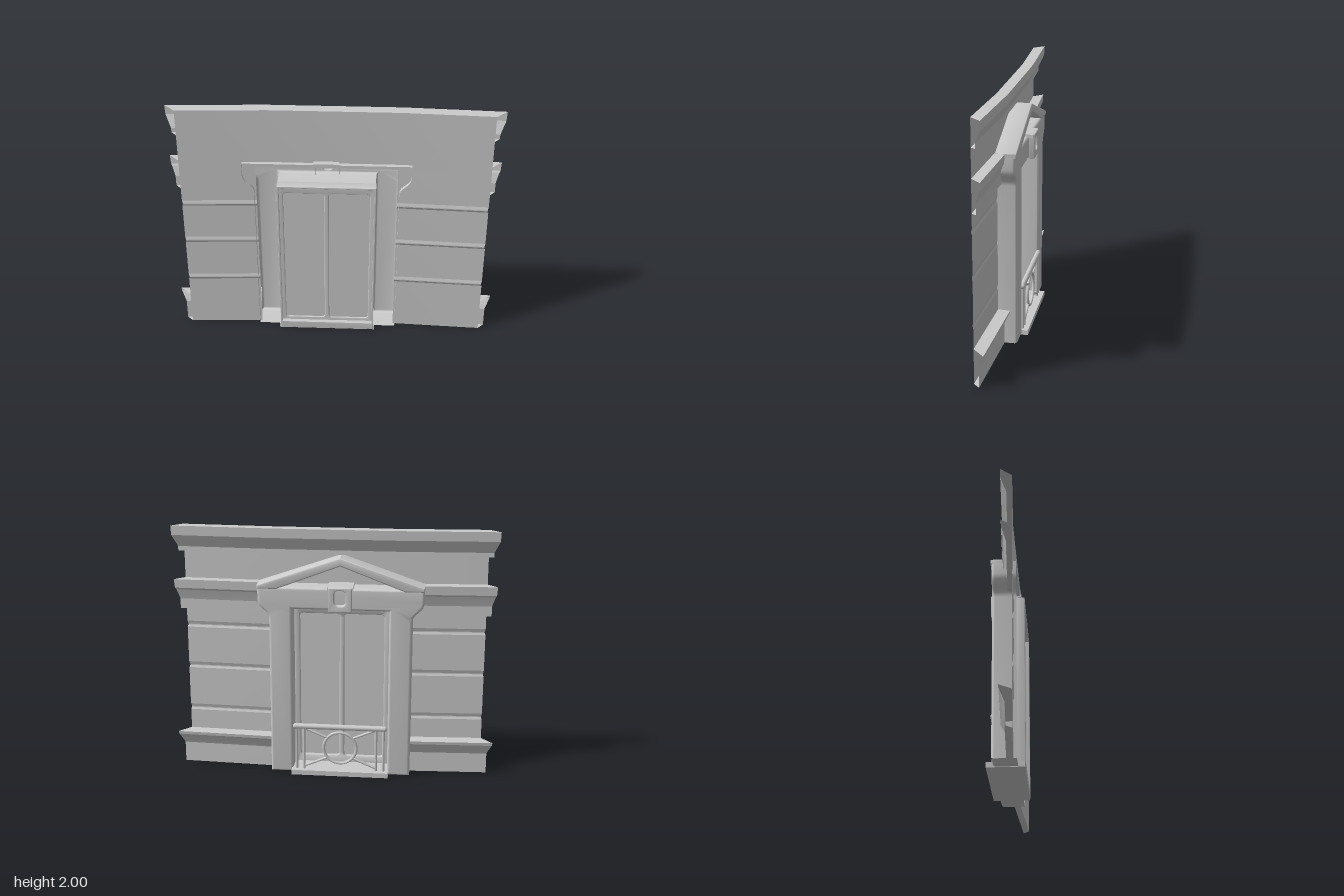
import * as THREE from 'three';
import { toCreasedNormals } from 'three/addons/utils/BufferGeometryUtils.js';

const material = new THREE.MeshStandardMaterial({ color: 0xcccccc, side: THREE.DoubleSide });
const CENTRE = 0.062; // door axis along the wall
const BEND = 0.5, MID = -0.048, END = 1.191, TIP = -0.081; // wall plan

// Plan of the wall: [along, out, mitre along, mitre out]
const END_L = [-END, TIP, -0.962, 0.962];
const BEND_L = [-BEND, MID, -0.024, 1];
const BEND_R = [BEND, MID, 0.024, 1];
const END_R = [END, TIP, 0.962, 0.962];

// Square cut of a side bay at a given position along the wall
function cut(x) {
  const k = Math.max(0, Math.abs(x) - BEND) / (END - BEND);
  return [x, MID + (TIP - MID) * k, 0, 1];
}

// Sweep an [offset, height] profile along plan nodes
function sweep(profile, nodes) {
  const pos = [];
  const at = (n, p) => [n[0] + n[2] * p[0], p[1], n[1] + n[3] * p[0]];
  for (let i = 0; i < nodes.length - 1; i++) {
    for (let j = 0; j < profile.length - 1; j++) {
      const a = at(nodes[i], profile[j]), b = at(nodes[i + 1], profile[j]);
      const c = at(nodes[i + 1], profile[j + 1]), d = at(nodes[i], profile[j + 1]);
      pos.push(...a, ...b, ...c, ...a, ...c, ...d);
    }
  }
  const g = new THREE.BufferGeometry();
  g.setAttribute('position', new THREE.Float32BufferAttribute(pos, 3));
  return toCreasedNormals(g, 0.2);
}

// Extrude a shape between two depths with rounded edges; openBack leaves a shell
function relief(shape, back, front, bevel, openBack = false) {
  const start = openBack ? back : back + bevel;
  const g = new THREE.ExtrudeGeometry(shape, {
    depth: front - start - bevel, curveSegments: 10, bevelEnabled: true,
    bevelThickness: bevel, bevelSize: bevel, bevelOffset: -bevel, bevelSegments: 4,
  });
  const p = g.attributes.position.array, keep = [];
  for (let i = 0; i < p.length; i += 9) {
    const backFace = (p[i + 2] + p[i + 5] + p[i + 8]) / 3 < 1e-4;
    if (!(openBack && backFace)) keep.push(...p.slice(i, i + 9));
  }
  const out = new THREE.BufferGeometry();
  out.setAttribute('position', new THREE.Float32BufferAttribute(keep, 3));
  out.translate(0, 0, start);
  return toCreasedNormals(out, 0.6);
}

function roundedRect(path, x0, y0, x1, y1, r) {
  path.moveTo(x0 + r, y0);
  path.lineTo(x1 - r, y0).quadraticCurveTo(x1, y0, x1, y0 + r);
  path.lineTo(x1, y1 - r).quadraticCurveTo(x1, y1, x1 - r, y1);
  path.lineTo(x0 + r, y1).quadraticCurveTo(x0, y1, x0, y1 - r);
  path.lineTo(x0, y0 + r).quadraticCurveTo(x0, y0, x0 + r, y0);
  return path;
}

function rect(path, x0, y0, x1, y1) {
  path.moveTo(x0, y0);
  path.lineTo(x1, y0).lineTo(x1, y1).lineTo(x0, y1);
  return path;
}

function add(parent, name, geometry, x = 0, y = 0, z = 0) {
  const mesh = new THREE.Mesh(geometry, material);
  mesh.name = name;
  mesh.position.set(x, y, z);
  parent.add(mesh);
  return mesh;
}

// Round bar between two points
function bar(parent, name, a, b, r) {
  const from = new THREE.Vector3(...a), to = new THREE.Vector3(...b);
  const mesh = add(parent, name, new THREE.CylinderGeometry(r, r, from.distanceTo(to), 10));
  mesh.position.copy(from).lerp(to, 0.5);
  mesh.quaternion.setFromUnitVectors(new THREE.Vector3(0, 1, 0), to.sub(from).normalize());
}

function buildWall(parent) {
  // Plain wall with shallow horizontal joints
  const wallProfile = [[0, 0.01]];
  for (const y of [0.475, 0.84, 1.185]) {
    wallProfile.push([0, y - 0.025], [-0.007, y - 0.008], [-0.007, y], [0, y + 0.025]);
  }
  wallProfile.push([0, 1.51]);
  const baseProfile = [[0, 0.01], [0.05, 0.01], [0.05, 0.175], [0.058, 0.195], [0.082, 0.245],
    [0.09, 0.26], [0.094, 0.285], [0, 0.29]];
  const bandProfile = [[0, 1.32], [0.041, 1.325], [0.041, 1.405], [0.048, 1.43], [0.066, 1.485],
    [0.075, 1.5], [0.08, 1.57], [0, 1.57]];
  const corniceProfile = [[0, 1.79], [0.041, 1.795], [0.041, 1.83], [0.052, 1.855], [0.073, 1.9],
    [0.084, 1.925], [0.087, 2], [0, 2]];
  // Bays either side of the doorway
  const bay = (side, half) => {
    const c = cut(CENTRE + side * half);
    if (side < 0) return c[0] > -BEND ? [END_L, BEND_L, c] : [END_L, c];
    return c[0] < BEND ? [c, BEND_R, END_R] : [c, END_R];
  };
  for (const side of [-1, 1]) {
    add(parent, 'sideWall', sweep(wallProfile, bay(side, 0.545)));
    add(parent, 'baseCourse', sweep(baseProfile, bay(side, 0.55)));
    add(parent, 'bandCourse', sweep(bandProfile, bay(side, 0.6)));
  }
  const full = [END_L, BEND_L, BEND_R, END_R];
  add(parent, 'upperWall', sweep([[0, 1.51], [0, 2]], full));
  add(parent, 'topCornice', sweep(corniceProfile, full));
}

function buildDoorway(parent) {
  // Surround: two pilasters and a flared head, hollow behind
  const s = new THREE.Shape();
  s.moveTo(-0.56, 0.01);
  s.lineTo(-0.56, 1.3);
  s.bezierCurveTo(-0.56, 1.37, -0.645, 1.37, -0.65, 1.45);
  s.lineTo(-0.65, 1.555).lineTo(0.65, 1.555).lineTo(0.65, 1.45);
  s.bezierCurveTo(0.645, 1.37, 0.56, 1.37, 0.56, 1.3);
  s.lineTo(0.56, 0.01).lineTo(0.38, 0.01).lineTo(0.38, 1.38).lineTo(-0.38, 1.38).lineTo(-0.38, 0.01);
  add(parent, 'surround', relief(s, -0.08, 0.105, 0.022, true));

  // Pediment: raking chevron
  const p = new THREE.Shape();
  p.moveTo(-0.65, 1.54);
  p.lineTo(-0.5, 1.54).lineTo(0, 1.73).lineTo(0.5, 1.54).lineTo(0.65, 1.54);
  p.lineTo(0.65, 1.572).lineTo(0, 1.795).lineTo(-0.65, 1.572);
  add(parent, 'pediment', relief(p, -0.045, 0.114, 0.012, true));

  // Keystone block with a rounded recess, and its cap running back into the wall
  const k = roundedRect(new THREE.Shape(), -0.092, 1.375, 0.092, 1.57, 0.012);
  k.holes.push(roundedRect(new THREE.Path(), -0.045, 1.425, 0.045, 1.548, 0.04));
  add(parent, 'keystone', relief(k, 0.06, 0.15, 0.008, true));
  add(parent, 'keystoneCap', new THREE.BoxGeometry(0.2, 0.025, 0.23), 0, 1.557, 0.023);

  // Jamb lining standing out behind the door
  const j = rect(new THREE.Shape(), -0.382, 0.01, 0.382, 1.387);
  j.holes.push(rect(new THREE.Path(), -0.368, 0.07, 0.368, 1.373));
  add(parent, 'jambLining', relief(j, -0.132, -0.052, 0.002));

  // Double door: frame with two recessed panels
  const f = rect(new THREE.Shape(), -0.38, 0.01, 0.38, 1.385);
  for (const x of [-0.337, 0.018]) {
    f.holes.push(roundedRect(new THREE.Path(), x, 0.1, x + 0.319, 1.31, 0.03));
  }
  add(parent, 'doorFrame', relief(f, -0.1, -0.05, 0.006));
  add(parent, 'doorPanels', new THREE.BoxGeometry(0.7, 1.25, 0.008), 0, 0.7, -0.086);
}

function buildBalcony(parent) {
  const z = 0.105;
  add(parent, 'balconySlab', new THREE.BoxGeometry(0.78, 0.04, 0.285), 0, 0.025, 0.013);
  // Rails and posts
  bar(parent, 'handrail', [-0.358, 0.41, z], [0.358, 0.41, z], 0.022);
  for (const x of [-0.358, 0.358]) add(parent, 'handrailEnd', new THREE.SphereGeometry(0.022, 10, 8), x, 0.41, z);
  add(parent, 'ring', new THREE.TorusGeometry(0.132, 0.012, 8, 32), 0, 0.232, z);
  for (const side of [-1, 1]) {
    for (const x of [0.29, 0.35]) bar(parent, 'post', [side * x, 0.03, z], [side * x, 0.41, z], 0.011);
    // Braces from the ring to the panel corners
    for (const up of [-1, 1]) {
      bar(parent, 'brace', [side * 0.1, 0.232 + up * 0.085, z], [side * 0.29, 0.232 + up * 0.165, z], 0.01);
    }
  }
}

export function createModel() {
  const model = new THREE.Group();
  model.name = 'facade';
  // The facade stands on the diagonal
  const bay = new THREE.Group();
  bay.name = 'diagonalBay';
  bay.rotation.y = Math.PI * 0.75;
  model.add(bay);
  const parts = [['wall', buildWall, 0], ['doorway', buildDoorway, CENTRE], ['balcony', buildBalcony, CENTRE]];
  for (const [name, build, x] of parts) {
    const group = new THREE.Group();
    group.name = name;
    group.position.x = x;
    build(group);
    bay.add(group);
  }
  return model;
}
